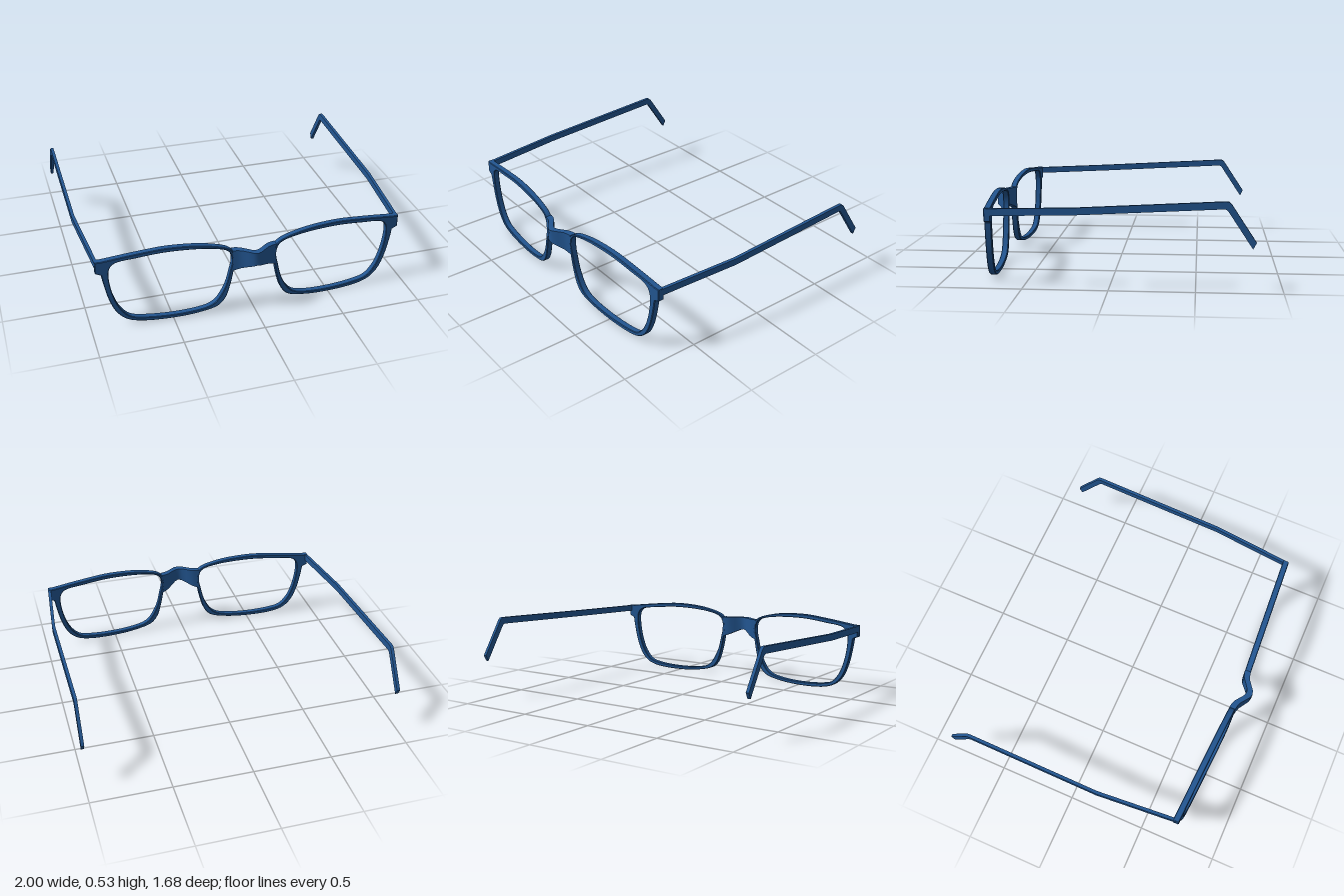
import * as THREE from 'three';
import { toCreasedNormals } from 'three/addons/utils/BufferGeometryUtils.js';

const material = new THREE.MeshStandardMaterial({ color: 0x225590 });

function makeMesh(name, geometry) {
  const mesh = new THREE.Mesh(toCreasedNormals(geometry, 0.6), material);
  mesh.name = name;
  return mesh;
}

// Solid through four-cornered sections, corners counter-clockwise about the direction of travel
function loft(sections) {
  const index = [];
  const last = (sections.length - 1) * 4;
  for (let i = 0; i < last; i += 4) {
    for (let j = 0; j < 4; j++) {
      const k = (j + 1) % 4;
      index.push(i + j, i + k, i + 4 + k, i + j, i + 4 + k, i + 4 + j);
    }
  }
  index.push(0, 2, 1, 0, 3, 2, last, last + 1, last + 2, last, last + 2, last + 3);
  const geometry = new THREE.BufferGeometry();
  geometry.setAttribute('position', new THREE.Float32BufferAttribute(sections.flat(2), 3));
  geometry.setIndex(index);
  return geometry;
}

function smooth(points, closed, count) {
  const curve = new THREE.CatmullRomCurve3(points.map(([x, y]) => new THREE.Vector3(x, y, 0)), closed);
  return curve.getPoints(count).map(p => new THREE.Vector2(p.x, p.y));
}

// Rim outline: a smooth run from the hinge underside round to the hinge top, closed by the hinge block
const outer = [
  [0.918, 0.375], [0.908, 0.31], [0.88, 0.19], [0.84, 0.1], [0.785, 0.045], [0.705, 0.017],
  [0.51, 0.005], [0.33, 0.02], [0.225, 0.05], [0.18, 0.1], [0.15, 0.19], [0.13, 0.29],
  [0.12, 0.37], [0.145, 0.438], [0.28, 0.486], [0.51, 0.506], [0.705, 0.492], [0.92, 0.467],
];
const block = [[0.952, 0.467], [0.952, 0.39]];
const opening = [
  [0.138, 0.37], [0.153, 0.28], [0.18, 0.18], [0.235, 0.085], [0.28, 0.055], [0.36, 0.037],
  [0.51, 0.028], [0.68, 0.039], [0.76, 0.06], [0.815, 0.12], [0.855, 0.22], [0.876, 0.35],
  [0.87, 0.41], [0.84, 0.445], [0.705, 0.465], [0.51, 0.48], [0.25, 0.462], [0.16, 0.43],
];

function rim(side) {
  const flip = ([x, y]) => [x * side, y];
  const shape = new THREE.Shape([
    ...smooth(outer.map(flip), false, 96),
    ...block.map(flip).map(p => new THREE.Vector2(...p)),
  ]);
  shape.holes.push(new THREE.Path(smooth(opening.map(flip), true, 90).slice(0, -1)));
  const bevel = 0.004;
  const geometry = new THREE.ExtrudeGeometry(shape, {
    depth: 0.04 - 2 * bevel, bevelThickness: bevel, bevelSize: bevel, bevelOffset: -bevel, bevelSegments: 1,
  });
  // Sweep the rim back towards the temple
  const pos = geometry.attributes.position;
  for (let i = 0; i < pos.count; i++) {
    pos.setZ(i, pos.getZ(i) + bevel + 0.742 - 0.06 * Math.abs(pos.getX(i)));
  }
  return geometry;
}

// Bridge: [x, bottom, top, middle z], mirrored across the nose
function bridge() {
  const half = [
    [0, 0.345, 0.43, 0.818], [0.025, 0.338, 0.432, 0.811], [0.055, 0.325, 0.433, 0.789],
    [0.085, 0.31, 0.433, 0.767], [0.11, 0.3, 0.433, 0.758], [0.137, 0.29, 0.433, 0.753],
  ];
  const all = [...half.slice(1).reverse().map(([x, ...r]) => [-x, ...r]), ...half];
  return loft(all.map(([x, lo, hi, z]) => [
    [x, lo, z - 0.02], [x, hi, z - 0.02], [x, hi, z + 0.02], [x, lo, z + 0.02],
  ]));
}

// Temple: [x, bottom y, bottom z, top y, top z], ending in a bent ear tip
function temple(side) {
  const path = [
    [0.943, 0.422, 0.715, 0.464, 0.715], [0.947, 0.423, 0.67, 0.465, 0.67],
    [0.989, 0.441, 0.19, 0.483, 0.19], [0.99, 0.487, -0.66, 0.53, -0.665],
    [0.99, 0.483, -0.67, 0.528, -0.682], [0.99, 0.472, -0.68, 0.515, -0.697],
    [0.99, 0.26, -0.82, 0.298, -0.84],
  ];
  const sections = path.map(([x, y0, z0, y1, z1]) => [
    [side * (x - 0.01), y0, z0], [side * (x - 0.01), y1, z1],
    [side * (x + 0.01), y1, z1], [side * (x + 0.01), y0, z0],
  ]);
  return loft(side > 0 ? sections : sections.reverse());
}

export function createModel() {
  const glasses = new THREE.Group();
  glasses.name = 'glasses';
  for (const [label, side] of [['left', 1], ['right', -1]]) {
    glasses.add(makeMesh(label + 'Rim', rim(side)));
    glasses.add(makeMesh(label + 'Temple', temple(side)));
  }
  glasses.add(makeMesh('bridge', bridge()));
  return glasses;
}
